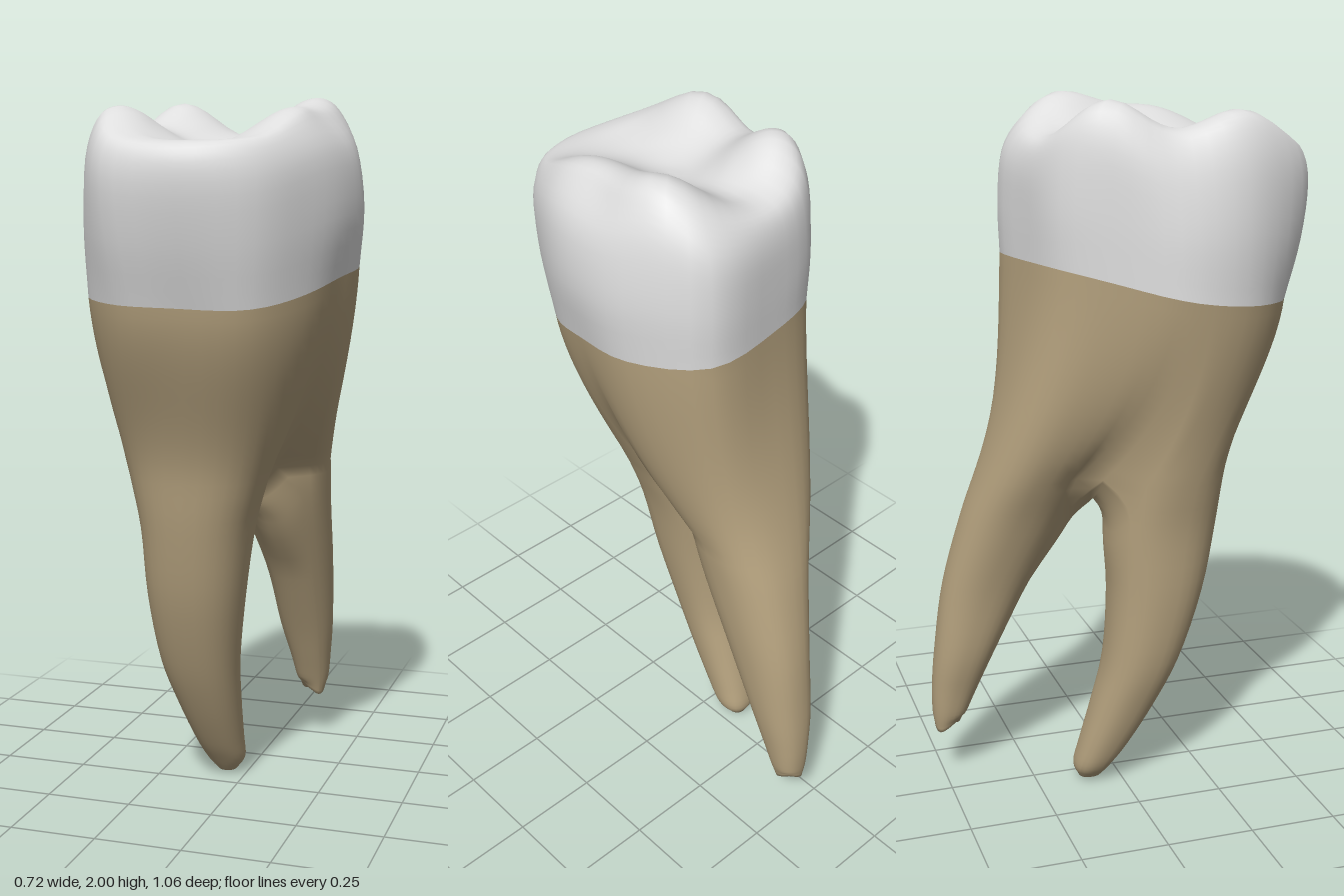
import * as THREE from 'three';
import { mergeGeometries, mergeVertices } from 'three/addons/utils/BufferGeometryUtils.js';

const M = 48, TAU = Math.PI * 2, CX = 0, CZ = 0.12;
const { lerp, smoothstep } = THREE.MathUtils;
const V = (x, y, z) => new THREE.Vector3(x, y, z);

// Skin a list of closed rings, ordered so that faces point outwards.
function loft(rows) {
  const pos = [], index = [];
  rows.forEach(row => row.forEach(p => pos.push(p.x, p.y, p.z)));
  for (let i = 0; i < rows.length - 1; i++) {
    for (let j = 0; j < M; j++) {
      const k = (j + 1) % M;
      const a = i * M + j, b = i * M + k, c = a + M, d = b + M;
      index.push(a, b, c, b, d, c);
    }
  }
  const g = new THREE.BufferGeometry();
  g.setAttribute('position', new THREE.Float32BufferAttribute(pos, 3));
  g.setIndex(index);
  return g;
}

function smooth(geometries) {
  const g = mergeVertices(mergeGeometries(geometries), 1e-4);
  g.computeVertexNormals();
  return g;
}

const ring = fn => Array.from({ length: M }, (_, j) => fn(j));

// Closed outline from twelve radii, one every 30 degrees from +x towards +z.
function outline(radii) {
  const pts = radii.map((r, i) => V(CX + r * Math.cos(i * TAU / 12), 0, CZ + r * Math.sin(i * TAU / 12)));
  const curve = new THREE.CatmullRomCurve3(pts, true, 'catmullrom');
  return ring(j => curve.getPoint(j / M));
}

const NECK = outline([.325, .32, .335, .325, .37, .375, .36, .335, .37, .38, .447, .388]);
NECK.forEach((p, j) => {
  p.y = 1.5 - .17 * (p.z - .09) + .02 * p.x + .009 * Math.cos(3 * j * TAU / M);
});
const BELLY = outline([.353, .343, .37, .375, .41, .385, .354, .335, .375, .38, .452, .4]);
const SHOULDER = outline([.335, .34, .385, .405, .425, .375, .325, .325, .365, .375, .437, .377]);
const RIM = outline([.265, .295, .36, .393, .4, .338, .285, .29, .34, .35, .39, .325]);

// Chewing surface: [x, z, height, width x, width z] for cusps and end ridges.
const CUSPS = [
  [-.24, .27, .125, .14, .16], [-.18, -.07, .15, .15, .15],
  [.21, -.1, .145, .15, .16], [.21, .18, .11, .14, .19],
  [.03, -.22, .025, .12, .08], [0, .45, .02, .2, .07],
];
const chewHeight = (x, z) => CUSPS.reduce(
  (h, [cx, cz, a, sx, sz]) => h + a * Math.exp(-(((x - cx) / sx) ** 2) - ((z - cz) / sz) ** 2), 1.84);

function crownGeometry() {
  const steps = 36;
  const columns = ring(j => {
    const n = NECK[j], r = RIM[j];
    const rimY = chewHeight(r.x, r.z) - .01;
    const pts = [
      n,
      V(BELLY[j].x, lerp(n.y, rimY, .4), BELLY[j].z),
      V(SHOULDER[j].x, lerp(n.y, rimY, .78), SHOULDER[j].z),
      V(r.x, rimY, r.z),
    ];
    for (const s of [.85, .68, .5, .33, .16, 0]) {
      const x = lerp(CX, r.x, s), z = lerp(CZ, r.z, s);
      pts.push(V(x, chewHeight(x, z), z));
    }
    return new THREE.CatmullRomCurve3(pts, false, 'catmullrom');
  });
  const rows = [];
  for (let i = steps; i >= 0; i--) rows.push(columns.map(c => c.getPoint(i / steps)));
  return smooth([loft(rows)]);
}

// Root sections: [y, xMin, xMax, zMin, zMax], from the fork to the tip.
const FRONT = [
  [.95, -.265, .125, -.03, .292], [.8, -.24, .08, -.045, .272], [.6, -.23, .048, -.04, .232],
  [.4, -.21, .02, -.055, .165], [.25, -.175, .008, -.09, .095], [.12, -.14, 0, -.125, .02],
  [.05, -.115, -.005, -.14, -.03], [.012, -.085, -.03, -.125, -.06],
];
const BACK = [
  [.95, -.125, .212, -.388, -.085], [.8, -.065, .2, -.44, -.137], [.6, -.01, .19, -.492, -.24],
  [.4, .015, .178, -.52, -.34], [.28, .04, .165, -.53, -.395], [.2, .055, .155, -.53, -.43],
  [.145, .07, .143, -.525, -.45],
];
const FORK_Y = .95, WAIST_RIGHT = .1, WAIST_LEFT = -.13, WAIST_Z = -.07;
// Slightly squared circle for the root sections.
const squared = v => Math.sign(v) * Math.abs(v) ** .87;

// Returns point(j, t) on one root; the half facing the other root joins the fork bridge.
function makeRoot(rows, isFront) {
  const centre = new THREE.CatmullRomCurve3(
    rows.map(([y, a, b, c, d]) => V((a + b) / 2, y, (c + d) / 2)), false, 'catmullrom');
  const radius = new THREE.CatmullRomCurve3(
    rows.map(([, a, b, c, d]) => V((b - a) / 2, 0, (d - c) / 2)), false, 'catmullrom');
  return (j, t) => {
    const c = centre.getPoint(t), r = radius.getPoint(t);
    const k = isFront ? j : (M - j) % M;
    const s = k / (M / 2);
    const inner = s >= 1 || s === 0;
    const deg = s <= 1 ? -50 + 280 * s : 230 + 80 * (s - 1);
    const phi = deg * Math.PI / 180, side = isFront ? 1 : -1;
    const p = V(c.x + r.x * squared(Math.cos(phi)), c.y, c.z + side * r.z * squared(Math.sin(phi)));
    if (inner) {
      const across = s === 0 ? 0 : 2 - s;
      const join = Math.max(0, 1 - (FORK_Y - c.y) / .12) ** 2;
      p.x = lerp(p.x, lerp(WAIST_RIGHT, WAIST_LEFT, across), join);
      p.z = lerp(p.z, WAIST_Z, join);
      p.y -= .08 * Math.sin(Math.PI * across) * Math.max(0, 1 - (FORK_Y - c.y) / .35);
    }
    // The back tip splits into two short prongs.
    if (!isFront) p.y += .016 * (1 + Math.sin(2 * phi)) * smoothstep(t, .8, 1);
    return p;
  };
}

function rootsGeometry() {
  const front = makeRoot(FRONT, true), back = makeRoot(BACK, false);

  // Trunk: eases from the neck outline into the slope of each root, pinched at the sides.
  const steps = 16;
  const columns = ring(j => {
    const root = j <= M / 2 ? front : back;
    const n = NECK[j], end = root(j, 0), next = root(j, .03);
    const chord = end.clone().sub(n);
    const slope = next.sub(end);
    slope.multiplyScalar(chord.y / slope.y);
    const pinch = Math.cos(j * TAU / M) ** 4;
    if (j % (M / 2) === 0) slope.copy(chord);
    slope.lerp(chord.clone().multiplyScalar(1.8), pinch);
    const start = chord.clone().multiplyScalar(.35);
    const c1 = n.clone().addScaledVector(start, 1 / 3);
    const c2 = end.clone().addScaledVector(slope, -1 / 3);
    c1.y = lerp(n.y, end.y, 1 / 3);
    c2.y = lerp(n.y, end.y, 2 / 3);
    return new THREE.CubicBezierCurve3(n, c1, c2, end);
  });
  const trunk = [];
  for (let i = 0; i <= steps; i++) trunk.push(columns.map(c => c.getPoint(i / steps)));

  // Two roots, each closed with a tip point; the back one ends in a small notch.
  const root = (point, tip) => {
    const rows = [];
    for (let i = 0; i <= 28; i++) rows.push(ring(j => point(j, i / 28)));
    rows.push(ring(() => tip.clone()));
    return loft(rows);
  };
  return smooth([loft(trunk), root(front, V(-.06, 0, -.092)), root(back, V(.105, .19, -.49))]);
}

export function createModel() {
  const enamel = new THREE.MeshStandardMaterial({ color: 0xdedede });
  enamel.name = 'enamel white';
  const dentine = new THREE.MeshStandardMaterial({ color: 0xb3a07d });
  dentine.name = 'root tan';

  const group = new THREE.Group();
  group.name = 'molar';
  const crown = new THREE.Mesh(crownGeometry(), enamel);
  crown.name = 'crown';
  const roots = new THREE.Mesh(rootsGeometry(), dentine);
  roots.name = 'roots';
  group.add(crown, roots);
  return group;
}
